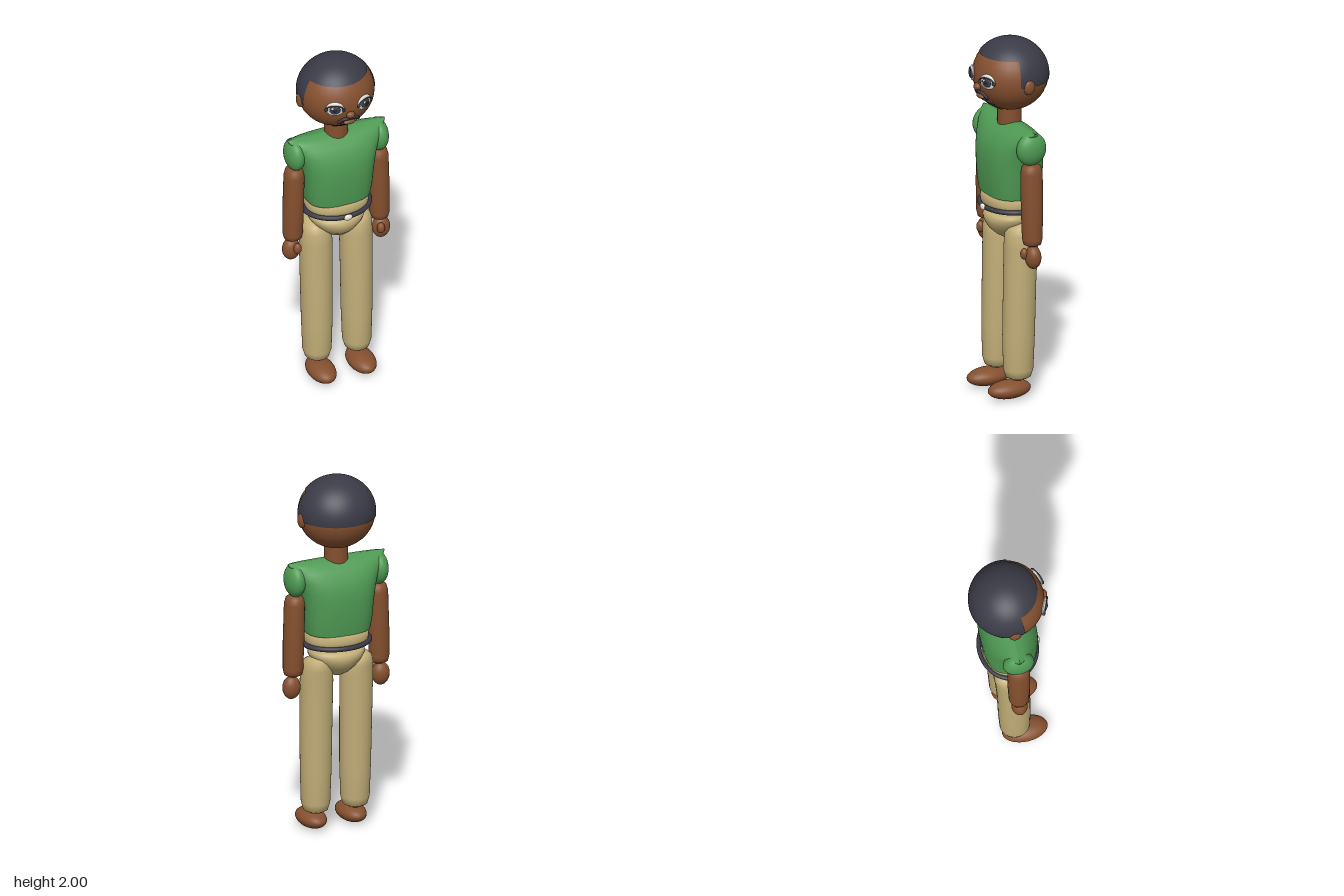
import * as THREE from 'three';

const mat = (name, color) => Object.assign(new THREE.MeshStandardMaterial({ color }), { name });

// Smooth body from stacked rounded cross-sections [y, rx, rz, cx, cz], bottom to top
function loft(rings, power = 2, n = 40) {
  const pos = [], idx = [];
  const bend = (v) => Math.sign(v) * Math.abs(v) ** (2 / power);
  for (const [y, rx, rz, cx = 0, cz = 0] of rings)
    for (let j = 0; j < n; j++) {
      const a = (j / n) * Math.PI * 2;
      pos.push(cx + rx * bend(Math.cos(a)), y, cz + rz * bend(Math.sin(a)));
    }
  for (let i = 0; i < rings.length - 1; i++)
    for (let j = 0; j < n; j++) {
      const a = i * n + j, b = i * n + ((j + 1) % n);
      idx.push(a, a + n, b, b, a + n, b + n);
    }
  const g = new THREE.BufferGeometry();
  g.setAttribute('position', new THREE.Float32BufferAttribute(pos, 3));
  g.setIndex(idx);
  g.computeVertexNormals();
  return g;
}

export function createModel() {
  const root = new THREE.Group();
  root.name = 'figure';
  const skin = mat('skin', 0x85502f), shirt = mat('shirt green', 0x4f9a54);
  const khaki = mat('khaki', 0xc2ae78), hair = mat('hair charcoal', 0x3b3b47);
  const white = mat('eye white', 0xe6e4dc), black = mat('pupil black', 0x22222b);
  hair.side = THREE.DoubleSide;

  const add = (name, geo, material, parent = root) => {
    const m = new THREE.Mesh(geo, material);
    m.name = name;
    parent.add(m);
    return m;
  };
  const ball = (name, material, [x, y, z], [rx, ry, rz], parent = root) => {
    const m = add(name, new THREE.SphereGeometry(1, 32, 20), material, parent);
    m.position.set(x, y, z);
    m.scale.set(rx, ry, rz);
    return m;
  };

  // Head
  const C = [0, 1.8, -0.006], R = [0.21, 0.197, 0.203];
  ball('head', skin, C, R);
  const patch = (name, phi, dPhi, th, th2, k) => {
    const m = add(name, new THREE.SphereGeometry(1, 48, 20, phi, dPhi, th, th2 - th), hair);
    m.position.set(...C);
    m.scale.set(R[0] * k, R[1] * k, R[2] * k);
  };
  const line = Math.acos(0.605);
  patch('hairTop', 0, Math.PI * 2, 0, line, 1.018);
  patch('hairBack', Math.PI - 0.24, Math.PI + 0.48, line, Math.acos(-0.1), 1.018);
  patch('goatee', Math.PI / 2 - 0.5, 1, Math.acos(-0.65), Math.acos(-0.97), 1.02);

  // Point on the face, lifted a little off the skin
  const onFace = (x, y, lift = 0) => {
    const u = x / R[0], v = (y - C[1]) / R[1];
    return new THREE.Vector3(x, y, C[2] + R[2] * Math.sqrt(1 - u * u - v * v) + lift);
  };
  const faceTube = (name, pts, r, material) => add(name, new THREE.TubeGeometry(
    new THREE.CatmullRomCurve3(pts.map(([x, y]) => onFace(x, y, 0.004))), 24, r, 8), material);

  // Nose and mouth
  ball('nose', skin, [0, 1.757, 0.196], [0.025, 0.02, 0.02]);
  ball('lips', skin, [0, 1.7, 0.178], [0.035, 0.013, 0.014]);
  faceTube('moustache', [[-0.058, 1.702], [-0.032, 1.729], [0, 1.727], [0.032, 1.729], [0.058, 1.702]], 0.009, hair);
  faceTube('lowerLipLine', [[-0.05, 1.694], [-0.02, 1.68], [0.02, 1.68], [0.05, 1.694]], 0.006, hair);

  for (const s of [1, -1]) {
    const side = s > 0 ? 'left' : 'right';
    // Eye, turned to follow the face
    const eye = new THREE.Group();
    eye.name = side + 'Eye';
    const p = onFace(0.085 * s, 1.805);
    eye.position.copy(p);
    eye.lookAt(p.x + p.x / R[0] ** 2, p.y + (p.y - C[1]) / R[1] ** 2, p.z + (p.z - C[2]) / R[2] ** 2);
    root.add(eye);
    ball('eyeWhite', white, [0, 0.002, 0], [0.05, 0.042, 0.012], eye);
    ball('iris', hair, [0, 0, 0.008], [0.03, 0.028, 0.01], eye);
    ball('pupil', black, [0, 0, 0.013], [0.015, 0.015, 0.007], eye);
    ball('glint', white, [-0.012, 0.012, 0.017], [0.007, 0.007, 0.003], eye);
    const lid = add('upperLid', new THREE.TorusGeometry(0.047, 0.005, 8, 28, Math.PI), hair, eye);
    lid.scale.y = 0.55;
    lid.position.z = 0.009;
    for (const e of [1, -1]) ball('eyeCorner', hair, [0.046 * e, 0, 0.006], [0.01, 0.011, 0.008], eye);

    ball(side + 'Ear', skin, [0.206 * s, 1.78, -0.008], [0.02, 0.042, 0.033]);

    // Sleeve, arm, hand
    ball(side + 'Sleeve', shirt, [0.243 * s, 1.443, 0], [0.054, 0.092, 0.086]);
    add(side + 'Arm', loft([
      [0.9, 0, 0, 0.253], [0.9, 0.03, 0.03, 0.253], [0.91, 0.048, 0.048, 0.253], [0.94, 0.055, 0.055, 0.253],
      [1.1, 0.057, 0.06, 0.25], [1.31, 0.055, 0.061, 0.245], [1.345, 0.048, 0.052, 0.243],
      [1.36, 0.03, 0.03, 0.243], [1.36, 0, 0, 0.243],
    ].map(([y, a, b, x]) => [y, a, b, x * s])), skin);
    ball(side + 'Hand', skin, [0.262 * s, 0.835, 0], [0.05, 0.065, 0.043]);
    ball(side + 'Thumb', skin, [0.243 * s, 0.855, 0.043], [0.022, 0.032, 0.022]);

    // Trouser leg and shoe
    add(side + 'Leg', loft([
      [0.1, 0, 0, 0.116, 0.01], [0.102, 0.04, 0.042, 0.116, 0.01], [0.118, 0.066, 0.07, 0.116, 0.01],
      [0.16, 0.078, 0.082, 0.116, 0.01], [0.35, 0.084, 0.088, 0.116, 0.008], [0.65, 0.088, 0.089, 0.117, 0.002],
      [0.86, 0.089, 0.093, 0.117, -0.005], [0.93, 0.084, 0.095, 0.12, -0.01], [0.97, 0.066, 0.085, 0.126, -0.02],
      [0.99, 0.042, 0.055, 0.13, -0.03], [0.998, 0, 0, 0.132, -0.035],
    ].map(([y, a, b, x, z]) => [y, a, b, x * s, z])), khaki);
    ball(side + 'Shoe', skin, [0.117 * s, 0.05, 0.065], [0.074, 0.05, 0.125]);
  }

  // Neck and shirt
  add('neck', new THREE.CylinderGeometry(0.065, 0.065, 0.13, 32), skin).position.set(0, 1.57, 0);
  add('shirt', loft([
    [1.135, 0, 0], [1.135, 0.18, 0.14], [1.135, 0.18, 0.14], [1.2, 0.191, 0.148], [1.3, 0.2, 0.153],
    [1.38, 0.214, 0.148], [1.44, 0.233, 0.131], [1.49, 0.258, 0.1], [1.52, 0.274, 0.066],
    [1.535, 0.283, 0.035], [1.541, 0.283, 0],
  ], 2.7, 56), shirt);

  // Waist, belt and hips
  add('waist', loft([
    [1.03, 0, 0], [1.032, 0.07, 0.055], [1.042, 0.13, 0.105], [1.06, 0.17, 0.138],
    [1.09, 0.176, 0.142], [1.14, 0.176, 0.14], [1.14, 0, 0],
  ], 2.3), khaki);
  const belt = add('belt', new THREE.TorusGeometry(1, 0.075, 12, 56), hair);
  belt.rotation.x = Math.PI / 2;
  belt.scale.set(0.184, 0.154, 0.18);
  belt.position.y = 1.066;
  ball('buckle', white, [0, 1.067, 0.163], [0.024, 0.018, 0.012]);
  add('hips', loft([
    [0.87, 0, 0], [0.877, 0.03, 0.04], [0.9, 0.068, 0.078], [0.935, 0.105, 0.115], [0.97, 0.14, 0.135],
    [1.0, 0.155, 0.14], [1.02, 0.158, 0.128], [1.032, 0.145, 0.1], [1.033, 0, 0],
  ]), khaki);
  return root;
}
